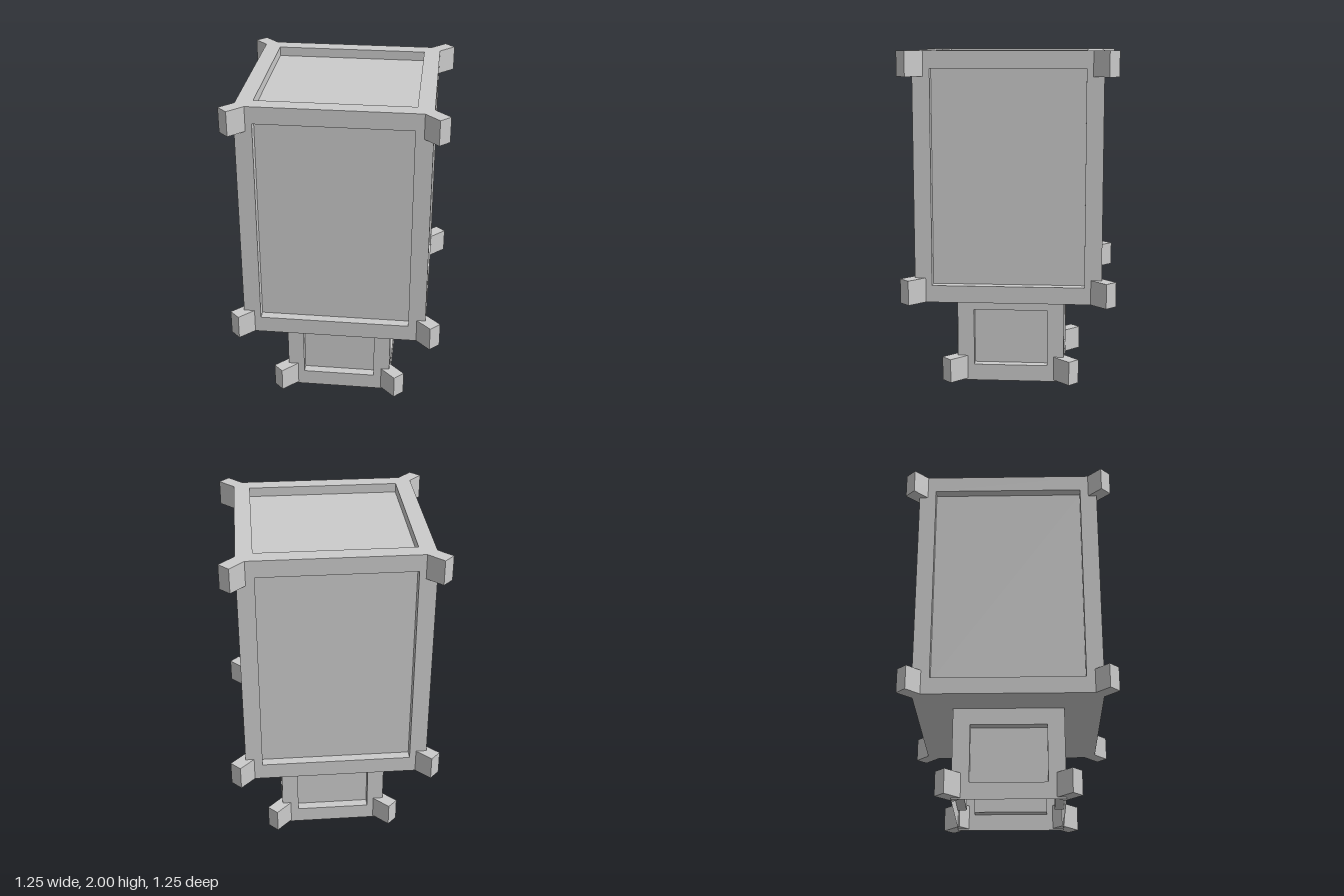
import * as THREE from 'three';

const material = new THREE.MeshStandardMaterial({ color: 0xcccccc, flatShading: true, side: THREE.DoubleSide });

// Rectangular face in the xy plane with a flat border and a sunken panel
function insetFace(w, h, border, depth) {
  const ring = (inset, z) => {
    const a = w / 2 - inset, b = h / 2 - inset;
    return [[-a, -b, z], [a, -b, z], [a, b, z], [-a, b, z]];
  };
  const rings = [ring(0, 0), ring(border, 0), ring(border, -depth)];
  const pos = [];
  const quad = (a, b, c, d) => pos.push(...a, ...b, ...c, ...a, ...c, ...d);
  for (let r = 0; r < 2; r++) {
    for (let i = 0; i < 4; i++) {
      const j = (i + 1) % 4;
      quad(rings[r][i], rings[r][j], rings[r + 1][j], rings[r + 1][i]);
    }
  }
  quad(...rings[2]);
  const g = new THREE.BufferGeometry();
  g.setAttribute('position', new THREE.Float32BufferAttribute(pos, 3));
  g.computeVertexNormals();
  return g;
}

function addMesh(parent, name, geometry) {
  const mesh = new THREE.Mesh(geometry, material);
  mesh.name = name;
  parent.add(mesh);
  return mesh;
}

// Four panelled walls around a square plan
function addWalls(parent, name, size, y0, y1) {
  const geometry = insetFace(size, y1 - y0, 0.1, 0.055);
  ['Front', 'Left', 'Back', 'Right'].forEach((side, i) => {
    const angle = i * Math.PI / 2;
    const wall = addMesh(parent, name + side, geometry);
    wall.rotation.y = angle;
    wall.position.set(Math.sin(angle) * size / 2, (y0 + y1) / 2, Math.cos(angle) * size / 2);
  });
}

// Short diagonal blocks sticking out of the four corners
function addCornerBlocks(parent, name, tip, y0, y1) {
  const outer = (tip - 0.0285) * Math.SQRT2, length = 0.14;
  const geometry = new THREE.BoxGeometry(0.08, y1 - y0, length);
  for (let i = 0; i < 4; i++) {
    const angle = Math.PI / 4 + i * Math.PI / 2, r = outer - length / 2;
    const block = addMesh(parent, name, geometry);
    block.rotation.y = angle;
    block.position.set(Math.sin(angle) * r, (y0 + y1) / 2, Math.cos(angle) * r);
  }
}

export function createModel() {
  const model = new THREE.Group();
  model.name = 'panelledPillar';

  // Large upper box with a sunken top and a flat underside
  const upper = new THREE.Group();
  upper.name = 'upperBox';
  upper.position.x = -0.006;
  const size = 1.085;
  addWalls(upper, 'upperWall', size, 0.545, 2);
  const top = addMesh(upper, 'upperTop', insetFace(size, size, 0.095, 0.055));
  top.rotation.x = -Math.PI / 2;
  top.position.y = 2;
  const underside = addMesh(upper, 'upperUnderside', new THREE.PlaneGeometry(size, size));
  underside.rotation.x = Math.PI / 2;
  underside.position.y = 0.545;
  model.add(upper);

  // Small lower box, hollow and open underneath
  const lower = new THREE.Group();
  lower.name = 'lowerBox';
  lower.position.x = -0.004;
  addWalls(lower, 'lowerWall', 0.645, 0, 0.545);
  model.add(lower);

  // Corner blocks at three levels
  addCornerBlocks(model, 'topCornerBlock', 0.625, 1.855, 2);
  addCornerBlocks(model, 'middleCornerBlock', 0.625, 0.545, 0.69);
  addCornerBlocks(model, 'bottomCornerBlock', 0.413, 0.01, 0.155);
  return model;
}
